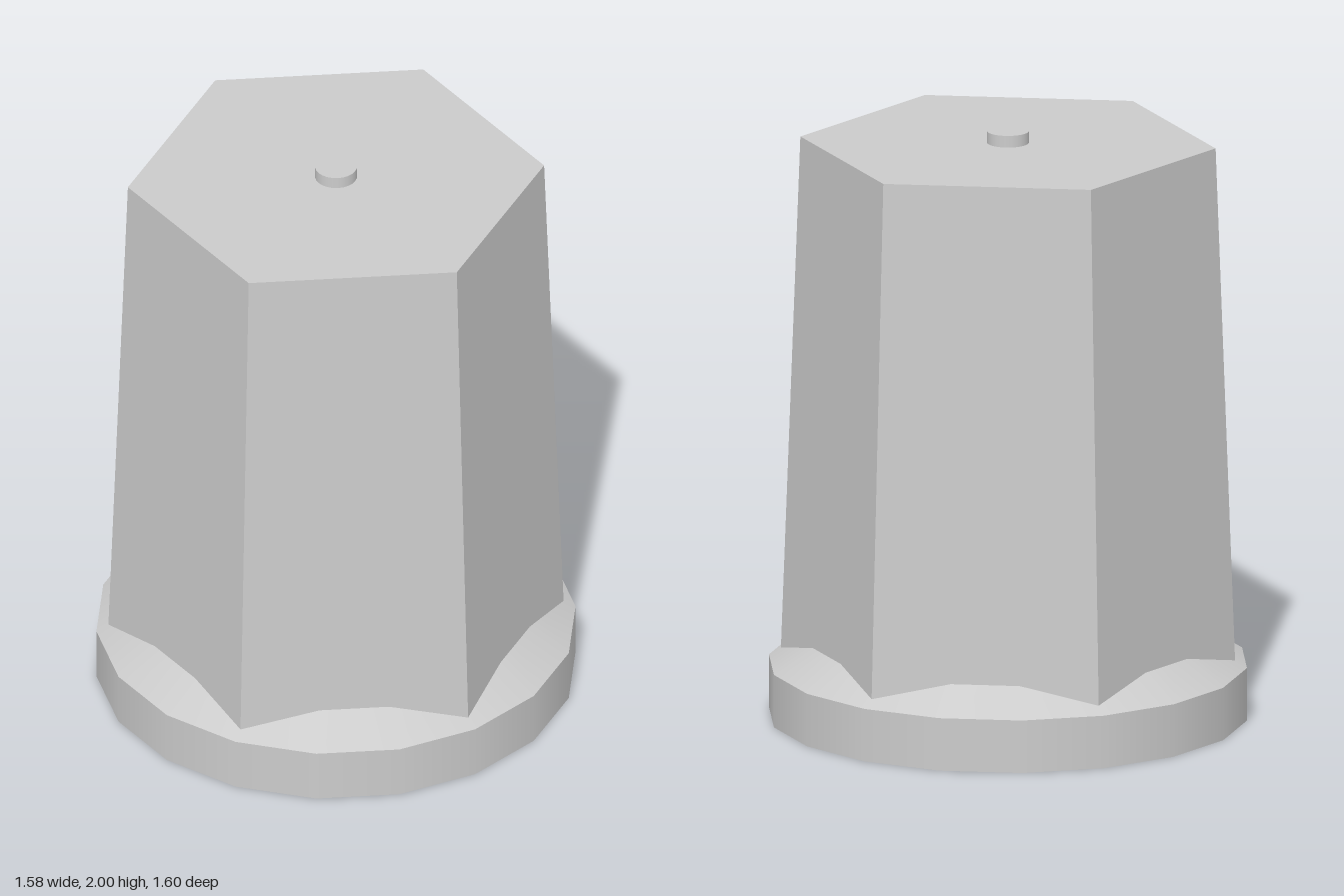
import * as THREE from 'three';

export function createModel() {
  const group = new THREE.Group();
  const smooth = new THREE.MeshStandardMaterial({ color: 0xcccccc });
  const flat = new THREE.MeshStandardMaterial({ color: 0xcccccc, flatShading: true });

  // Upright prism or frustum spanning y0..y1
  function frustum(name, rBottom, rTop, y0, y1, sides, material, open = false) {
    const geometry = new THREE.CylinderGeometry(rTop, rBottom, y1 - y0, sides, 1, open);
    const mesh = new THREE.Mesh(geometry, material);
    mesh.name = name;
    mesh.position.y = (y0 + y1) / 2;
    group.add(mesh);
  }

  // Round base: straight rim with a sloping collar running into the body
  frustum('baseRim', 0.8, 0.8, 0, 0.18, 18, smooth);
  frustum('baseCollar', 0.8, 0.6, 0.18, 0.306, 18, smooth, true);

  // Tapered hexagonal body
  frustum('hexBody', 0.761, 0.695, 0.18, 1.96, 6, flat);

  // Small round stud on top
  frustum('topStud', 0.07, 0.07, 1.96, 2, 24, smooth);

  return group;
}
